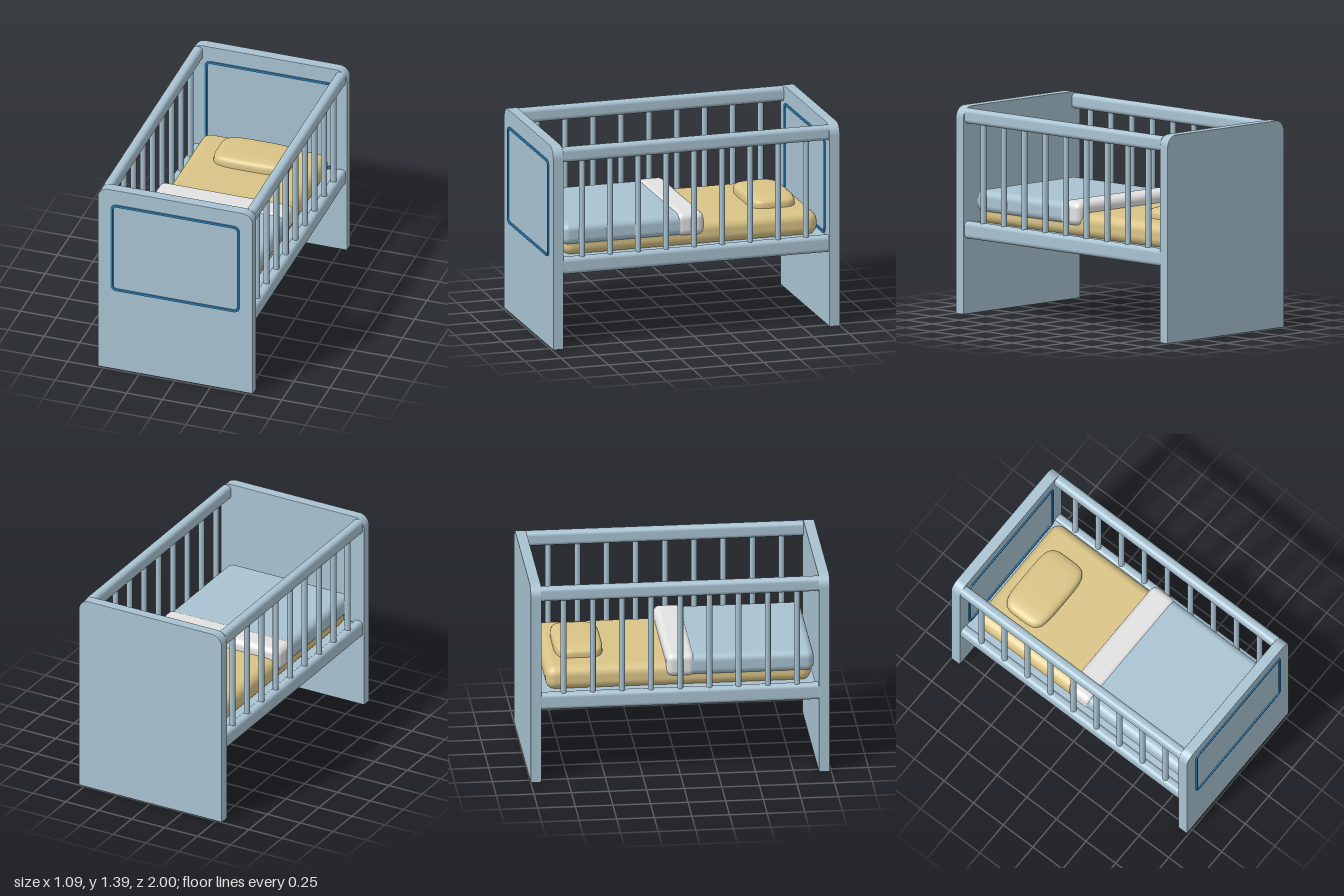
import * as THREE from 'three';
import { mergeVertices } from 'three/addons/utils/BufferGeometryUtils.js';
import { RoundedBoxGeometry } from 'three/addons/geometries/RoundedBoxGeometry.js';

const paint = (name, color) => {
  const m = new THREE.MeshStandardMaterial({ color });
  m.name = name;
  return m;
};

// Rounded rectangle outline with separate bottom and top corner radii
function roundedRect(path, x0, y0, x1, y1, rBottom, rTop) {
  path.moveTo(x0 + rBottom, y0);
  path.lineTo(x1 - rBottom, y0);
  if (rBottom) path.absarc(x1 - rBottom, y0 + rBottom, rBottom, -Math.PI / 2, 0);
  path.lineTo(x1, y1 - rTop);
  path.absarc(x1 - rTop, y1 - rTop, rTop, 0, Math.PI / 2);
  path.lineTo(x0 + rTop, y1);
  path.absarc(x0 + rTop, y1 - rTop, rTop, Math.PI / 2, Math.PI);
  path.lineTo(x0, y0 + rBottom);
  if (rBottom) path.absarc(x0 + rBottom, y0 + rBottom, rBottom, Math.PI, Math.PI * 1.5);
  return path;
}

// Extrusion whose bevel stays inside the given depth, starting at z = 0
function extrude(shape, depth, bevel) {
  return new THREE.ExtrudeGeometry(shape, {
    depth: depth - 2 * bevel, bevelEnabled: bevel > 0, bevelSize: bevel, bevelOffset: -bevel,
    bevelThickness: bevel, bevelSegments: 2, curveSegments: 10,
  }).translate(0, 0, bevel);
}

// Soft cushion: a box pulled onto a rounded superellipsoid
function cushion(hx, hy, hz, n) {
  let g = new THREE.BoxGeometry(2, 2, 2, 16, 10, 14);
  g.deleteAttribute('uv');
  g.deleteAttribute('normal');
  g = mergeVertices(g);
  const p = g.attributes.position;
  for (let i = 0; i < p.count; i++) {
    const v = [p.getX(i), p.getY(i), p.getZ(i)];
    const k = Math.pow(v.reduce((s, c) => s + Math.abs(c) ** n, 0), -1 / n);
    p.setXYZ(i, v[0] * k * hx, v[1] * k * hy, v[2] * k * hz);
  }
  g.computeVertexNormals();
  return g;
}

export function createModel() {
  const model = new THREE.Group();
  model.name = 'cot';
  const paleBlue = paint('paleBlue', 0xa9c3d2);
  const deepBlue = paint('deepBlue', 0x2a80b9);
  const straw = paint('straw', 0xdac486);
  const white = paint('white', 0xe2e2e2);

  const add = (name, geometry, material, x = 0, y = 0, z = 0) => {
    const mesh = new THREE.Mesh(geometry, material);
    mesh.name = name;
    mesh.position.set(x, y, z);
    model.add(mesh);
    return mesh;
  };

  // End panels with rounded top corners
  const panel = extrude(roundedRect(new THREE.Shape(), -0.543, 0, 0.543, 1.388, 0, 0.075), 0.073, 0.004);
  add('footPanel', panel, paleBlue, 0, 0, 0.917);
  add('headPanel', panel, paleBlue, 0, 0, -1);

  // Thin raised trim on the front of each panel
  const trimShape = roundedRect(new THREE.Shape(), -0.45, 0.612, 0.45, 1.278, 0.04, 0.04);
  trimShape.holes.push(roundedRect(new THREE.Path(), -0.433, 0.629, 0.433, 1.261, 0.024, 0.024));
  const trim = extrude(trimShape, 0.014, 0.004);
  add('footTrim', trim, deepBlue, 0, 0, 0.986);
  add('headTrim', trim, deepBlue, 0, 0, -0.931);

  // Side rails and spindles
  const rail = (h) => extrude(roundedRect(new THREE.Shape(), -0.034, -h / 2, 0.034, h / 2, 0.028, 0.028), 1.85, 0);
  const topRail = rail(0.1);
  const bottomRail = rail(0.115);
  const spindle = new THREE.CylinderGeometry(0.02, 0.02, 0.72, 16);
  for (const [side, s] of [['left', 1], ['right', -1]]) {
    add(side + 'TopRail', topRail, paleBlue, s * 0.5, 1.325, -0.93);
    add(side + 'BottomRail', bottomRail, paleBlue, s * 0.5, 0.563, -0.93);
    for (let i = 0; i < 9; i++) {
      add(side + 'Spindle', spindle, paleBlue, s * 0.5, 0.945, 0.775 - i * 0.194);
    }
  }

  // Base board and bedding
  add('baseBoard', new THREE.BoxGeometry(0.95, 0.05, 1.825), paleBlue, 0, 0.585, -0.013);
  add('mattress', new RoundedBoxGeometry(0.88, 0.165, 1.765, 5, 0.065), straw, 0, 0.683, -0.003);
  add('blanket', new RoundedBoxGeometry(0.925, 0.147, 0.945, 5, 0.05), paleBlue, 0, 0.755, 0.422);
  add('blanketFold', new RoundedBoxGeometry(0.935, 0.158, 0.192, 5, 0.045), white, 0, 0.759, 0.009);
  add('pillow', cushion(0.264, 0.065, 0.161, 4.5), straw, 0, 0.77, -0.642);

  return model;
}
